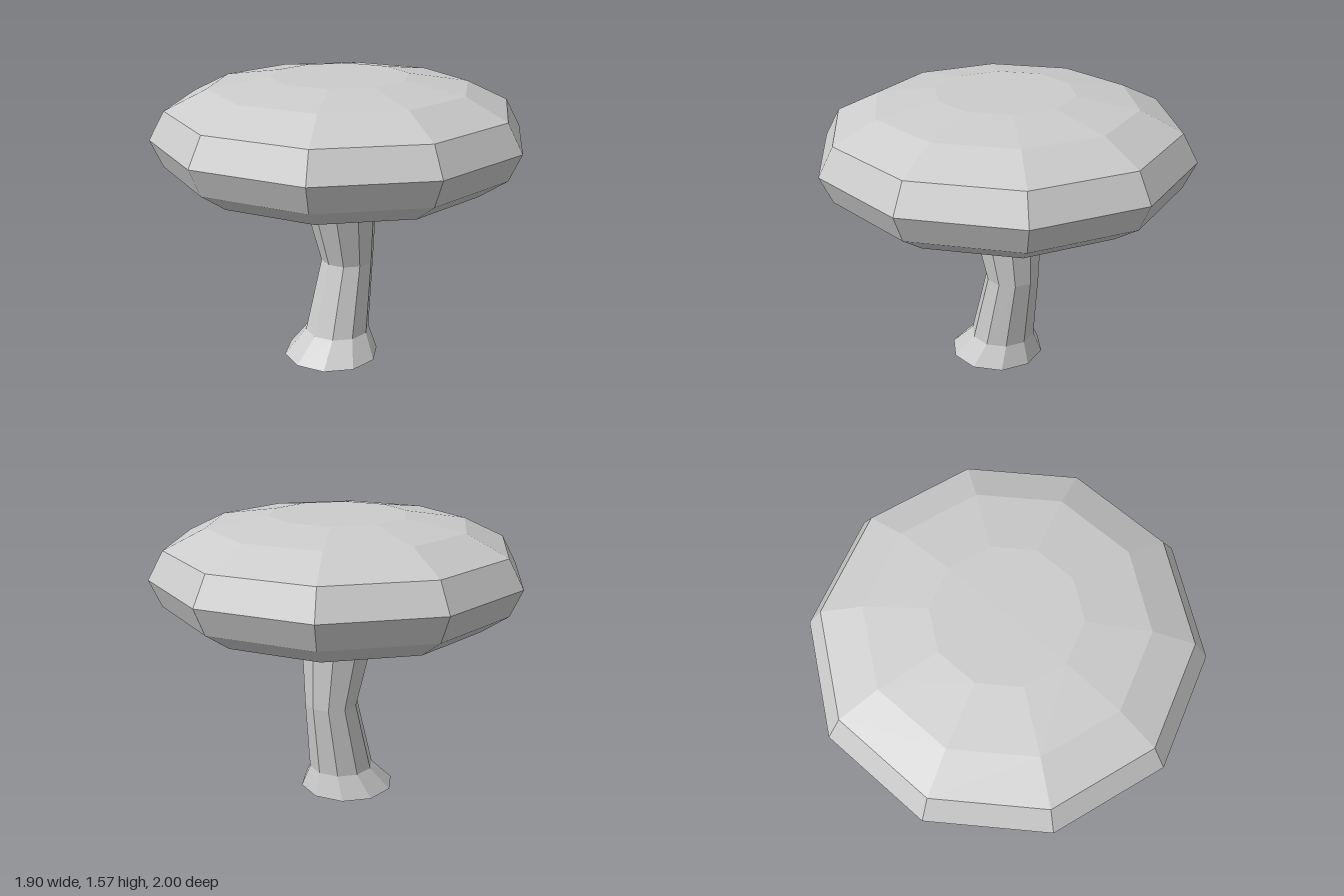
import * as THREE from 'three';

const SIDES = 10;

// Skin a stack of horizontal decagons, each [radius, y, zOffset]; radius 0 closes an end.
function loft(rings) {
  const point = ([r, y, z = 0], j) => {
    const a = (j / SIDES) * Math.PI * 2;
    return [r * Math.sin(a), y, z + r * Math.cos(a)];
  };
  const pos = [];
  for (let i = 0; i < rings.length - 1; i++) {
    const lower = rings[i], upper = rings[i + 1];
    for (let j = 0; j < SIDES; j++) {
      const a = point(lower, j), b = point(lower, j + 1);
      const c = point(upper, j + 1), d = point(upper, j);
      if (lower[0] > 0) pos.push(...a, ...b, ...c);
      if (upper[0] > 0) pos.push(...a, ...c, ...d);
      else if (lower[0] === 0) continue;
    }
  }
  const geometry = new THREE.BufferGeometry();
  geometry.setAttribute('position', new THREE.Float32BufferAttribute(pos, 3));
  geometry.computeVertexNormals();
  return geometry;
}

export function createModel() {
  const group = new THREE.Group();
  group.name = 'mushroom';
  const material = new THREE.MeshStandardMaterial({ color: 0xcccccc, flatShading: true });

  const addPart = (name, rings) => {
    const mesh = new THREE.Mesh(loft(rings), material);
    mesh.name = name;
    group.add(mesh);
  };

  // Bent stem with a splayed foot, flaring into the cap
  addPart('stem', [
    [0, 0, 0.07],
    [0.264, 0, 0.07],
    [0.18, 0.13, 0.02],
    [0.147, 0.53, -0.06],
    [0.205, 0.92, 0],
    [0.39, 1.15, 0],
  ]);

  // Cap: hollowed underside, rounded rim and flat crown
  addPart('cap', [
    [0.39, 1.15],
    [0.79, 1.02],
    [0.935, 1.12],
    [1.0, 1.265],
    [0.918, 1.415],
    [0.695, 1.523],
    [0.37, 1.573],
    [0, 1.573],
  ]);

  return group;
}
